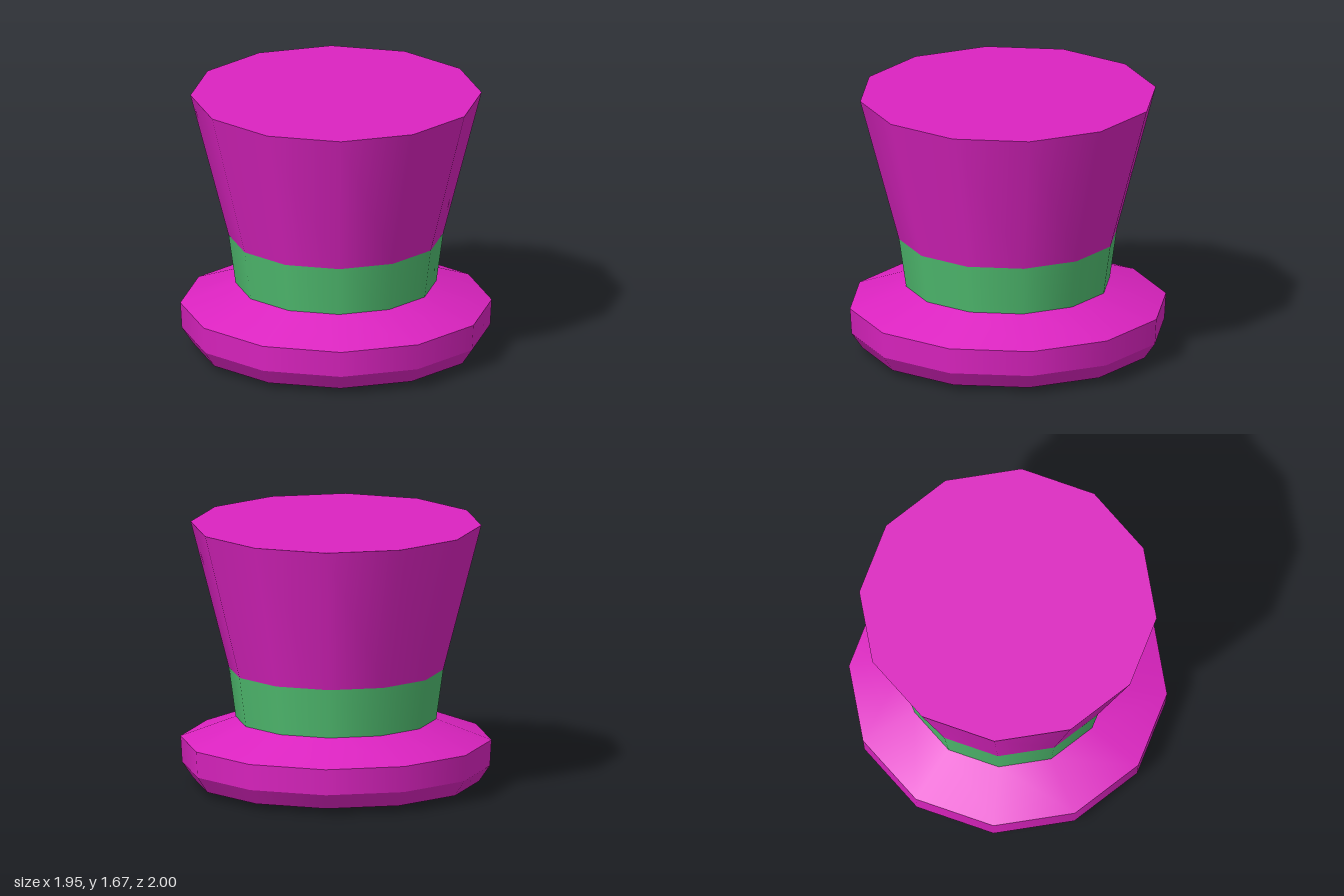
import * as THREE from 'three';

const SIDES = 12;

export function createModel() {
  const hat = new THREE.Group();
  hat.name = 'topHat';
  const felt = new THREE.MeshStandardMaterial({ color: 0xdb23c0 });
  felt.name = 'magenta felt';
  const ribbon = new THREE.MeshStandardMaterial({ color: 0x50bd70 });
  ribbon.name = 'green ribbon';

  // A ring swept around y; separate rings keep the edges between them sharp
  function ring(name, material, parent, ...profile) {
    const points = profile.map(([r, y]) => new THREE.Vector2(r, y));
    const mesh = new THREE.Mesh(new THREE.LatheGeometry(points, SIDES), material);
    mesh.name = name;
    mesh.scale.x = 0.975; // slightly narrower than deep
    parent.add(mesh);
  }

  // Thick rolled brim, from the head opening up to the ribbon
  const brim = new THREE.Group();
  brim.name = 'brim';
  hat.add(brim);
  ring('brimUnderside', felt, brim, [0.57, 0], [0.92, 0.035]);
  ring('brimBevel', felt, brim, [0.92, 0.035], [0.99, 0.135]);
  ring('brimEdge', felt, brim, [0.99, 0.135], [1, 0.3]);
  ring('brimTop', felt, brim, [1, 0.3], [0.645, 0.43]);

  // Ribbon and flared crown
  ring('ribbonBand', ribbon, hat, [0.645, 0.43], [0.69, 0.745]);
  ring('crownWall', felt, hat, [0.69, 0.745], [0.935, 1.67]);
  ring('crownTop', felt, hat, [0.935, 1.67], [0, 1.67]);

  // Hollow inside
  ring('liningTop', felt, hat, [0, 1.6], [0.85, 1.6]);
  ring('liningWall', felt, hat, [0.85, 1.6], [0.62, 0.745], [0.57, 0.43], [0.57, 0]);

  return hat;
}
